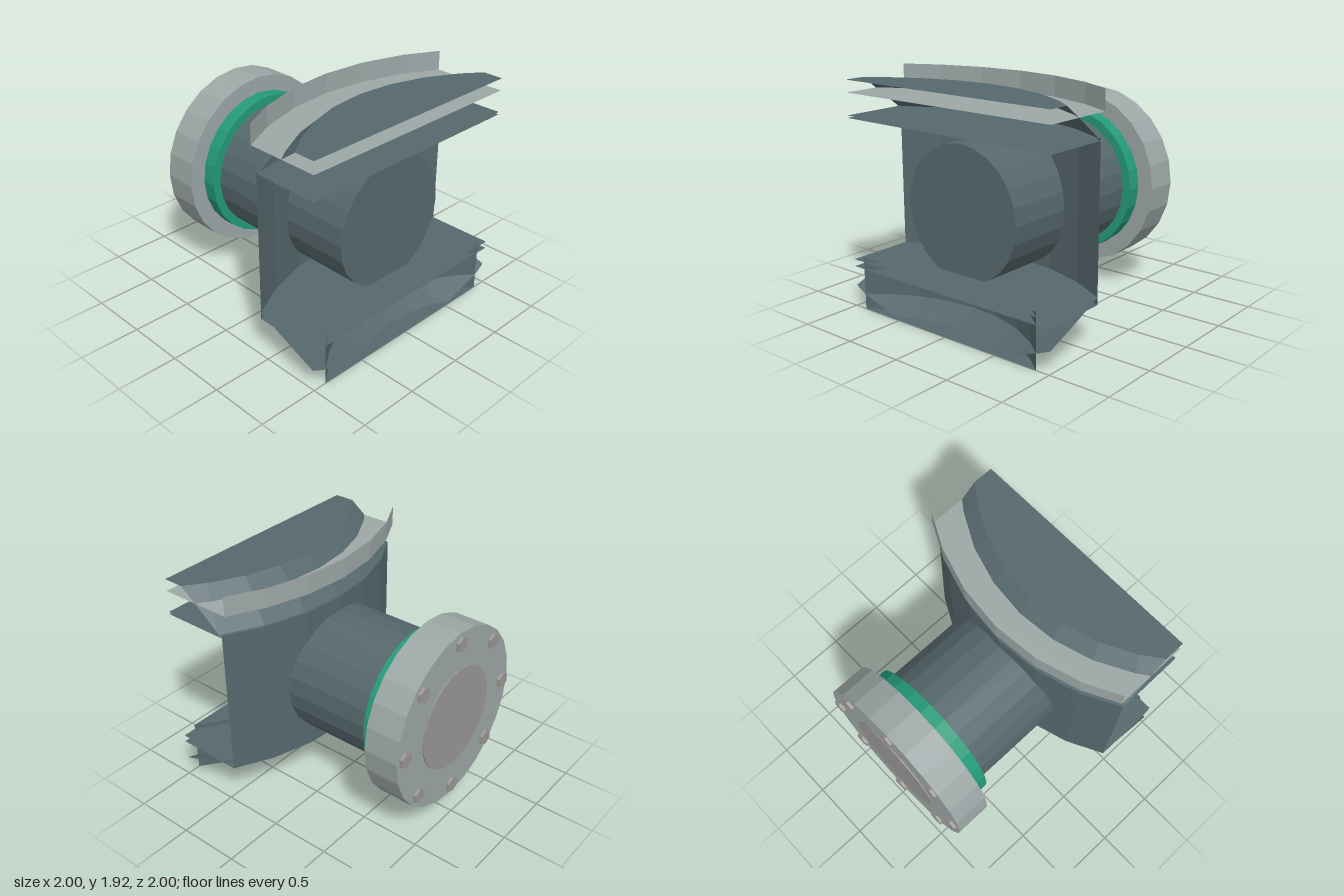
import * as THREE from 'three';

const AXIS_Z = 1.98;           // vertical axis of the large curved vessel
const STEP = Math.PI / 16;     // the vessel has 32 sides
const mat = (color) => new THREE.MeshStandardMaterial({ color, flatShading: true, side: THREE.DoubleSide });
const dark = mat(0x56686d), light = mat(0x9ca7a6), green = mat(0x249a77), steel = mat(0x999795);

// Points [x, z] of a ring of the vessel, cut off at x = +-1 and z = 1
function ring(r) {
  const max = Math.min(
    r > 1 ? Math.asin(1 / r) : Math.PI / 2,
    Math.acos((AXIS_Z - 1) / r));
  const points = [];
  for (let k = -5; k <= 5; k++) {
    const a = THREE.MathUtils.clamp(k * STEP, -max, max);
    points.push([r * Math.sin(a), AXIS_Z - r * Math.cos(a)]);
  }
  return points;
}

// Curved wall between two radii and heights
function shell(r0, y0, r1, y1, rows) {
  const pos = [], index = [];
  for (let i = 0; i <= rows; i++) {
    const t = i / rows;
    for (const [x, z] of ring(r0 + (r1 - r0) * t)) pos.push(x, y0 + (y1 - y0) * t, z);
  }
  for (let i = 0; i < rows; i++) {
    for (let k = 0; k < 10; k++) {
      const a = i * 11 + k, b = a + 11;
      index.push(a, b, a + 1, a + 1, b, b + 1);
    }
  }
  const g = new THREE.BufferGeometry();
  g.setAttribute('position', new THREE.Float32BufferAttribute(pos, 3));
  g.setIndex(index);
  g.computeVertexNormals();
  return g;
}

// Flat plate filling a ring up to the cut at z = 1
function plate(r, y) {
  const pts = ring(r).map(([x, z]) => new THREE.Vector2(x, z));
  if (pts[0].y < 0.99) pts.push(new THREE.Vector2(1, 1), new THREE.Vector2(-1, 1));
  const g = new THREE.ShapeGeometry(new THREE.Shape(pts));
  g.rotateX(Math.PI / 2);
  g.translate(0, y, 0);
  return g;
}

export function createModel() {
  const model = new THREE.Group();
  const add = (name, geometry, material, parent = model) => {
    const mesh = new THREE.Mesh(geometry, material);
    mesh.name = name;
    parent.add(mesh);
    return mesh;
  };

  // Vessel sections: name, lower radius and height, upper radius and height, rows, material, top plate
  const sections = [
    ['vesselWall', 1.84, 0.34, 1.84, 1.58, 1, dark, true],
    ['upperCone', 1.84, 1.56, 1.525, 1.86, 4, dark, true],
    ['topRim', 1.88, 1.76, 1.88, 1.92, 1, light, false],
    ['lowerCone', 1.12, 0.025, 1.84, 0.40, 10, dark, true],
    ['baseRing', 1.32, 0, 1.32, 0.44, 1, dark, true],
  ];
  for (const [name, r0, y0, r1, y1, rows, material, top] of sections) {
    const part = new THREE.Group();
    part.name = name;
    add(name + 'Side', shell(r0, y0, r1, y1, rows), material, part);
    add(name + 'Floor', plate(r0, y0), material, part);
    if (top) add(name + 'Top', plate(r1, y1), material, part);
    model.add(part);
  }

  // Nozzle parts lie along z, around a common centre
  const nozzle = new THREE.Group();
  nozzle.name = 'nozzle';
  nozzle.position.y = 0.925;
  model.add(nozzle);
  const drum = (name, r, z0, z1, material, sides = 24) => {
    const g = new THREE.CylinderGeometry(r, r, z0 - z1, sides);
    g.rotateX(Math.PI / 2);
    g.translate(0, 0, (z0 + z1) / 2);
    return add(name, g, material, nozzle);
  };
  drum('pipe', 0.537, 0.8, -0.6, dark);
  drum('gasket', 0.608, -0.565, -0.69, green);
  drum('flange', 0.742, -0.685, -0.975, light);
  drum('coverDisc', 0.43, -0.96, -0.985, steel);

  // Ring of hexagonal bolts
  for (let i = 0; i < 8; i++) {
    const a = i * Math.PI / 4;
    drum('bolt', 0.065, -0.96, -1, steel, 6).position.set(0.65 * Math.sin(a), 0.65 * Math.cos(a), 0);
  }
  return model;
}
